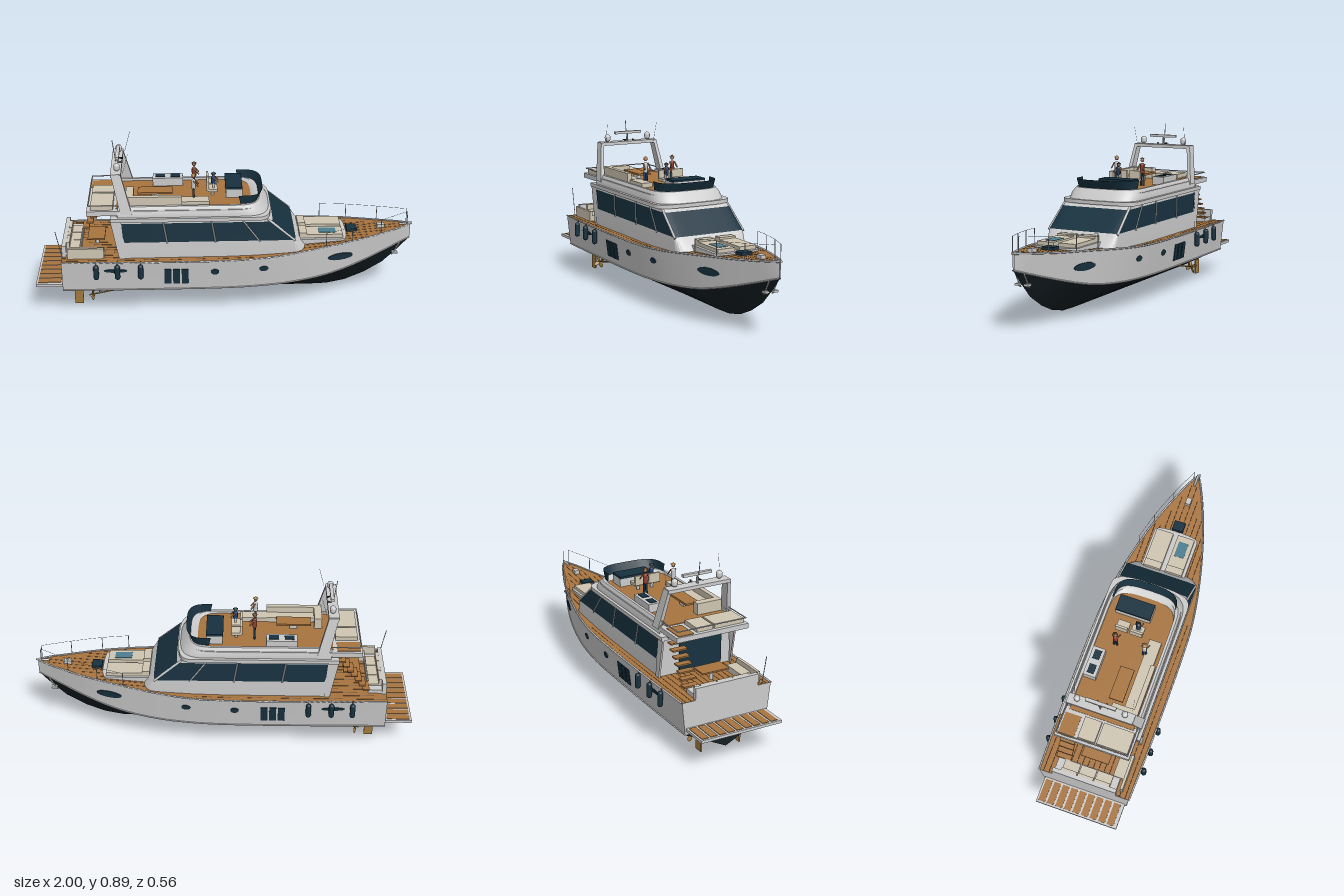
import * as THREE from 'three';
import { toCreasedNormals } from 'three/addons/utils/BufferGeometryUtils.js';

const paint = (color) => new THREE.MeshStandardMaterial({ color, side: THREE.DoubleSide });
const M = {
  white: paint(0xcccccc), black: paint(0x141e22), navy: paint(0x17313f), wood: paint(0xa8743f),
  cream: paint(0xcfc6b2), gold: paint(0xa07a3c), seam: paint(0x5f4226), skin: paint(0xa8714f),
  red: paint(0x94402f), blue: paint(0x20406a), teal: paint(0x4d7f92),
};
const V = (x, y, z) => new THREE.Vector3(x, y, z);

// hull stations: x, sheer height, sheer half width, chine height, chine half width, keel height
const STATIONS = [
  [-0.86, 0.315, 0.248, 0.145, 0.23, 0.03], [-0.5, 0.315, 0.257, 0.145, 0.235, 0.03],
  [0, 0.317, 0.257, 0.147, 0.235, 0.03], [0.15, 0.321, 0.25, 0.15, 0.228, 0.03],
  [0.3, 0.33, 0.23, 0.155, 0.211, 0.03], [0.45, 0.343, 0.2, 0.167, 0.183, 0.03],
  [0.55, 0.352, 0.175, 0.182, 0.16, 0.034], [0.65, 0.36, 0.147, 0.205, 0.132, 0.055],
  [0.75, 0.367, 0.113, 0.233, 0.097, 0.098], [0.85, 0.376, 0.073, 0.264, 0.058, 0.16],
  [0.93, 0.384, 0.039, 0.29, 0.026, 0.24], [0.99, 0.39, 0.005, 0.31, 0.003, 0.308],
];
function station(x) {
  let i = 0;
  while (i < STATIONS.length - 2 && x > STATIONS[i + 1][0]) i++;
  const a = STATIONS[i], b = STATIONS[i + 1], t = (x - a[0]) / (b[0] - a[0]);
  const [, sheer, half, chine, chineHalf, keel] = a.map((v, k) => v + (b[k] - v) * t);
  return { sheer, half, chine, chineHalf, keel };
}
function hullPoint(x, y, side) {
  const s = station(x), t = (y - s.chine) / (s.sheer - s.chine);
  return V(x, y, side * (s.chineHalf + (s.half - s.chineHalf) * t));
}

// skin stretched over rows of points; optionally closed round and capped
function loft(rows, closed = false, crease = 0.7) {
  const n = rows[0].length, pos = rows.flat().flatMap((p) => [p.x, p.y, p.z]), idx = [];
  for (let r = 0; r < rows.length - 1; r++)
    for (let i = 0; i < (closed ? n : n - 1); i++) {
      const a = r * n + i, b = r * n + (i + 1) % n;
      idx.push(a, a + n, b, b, a + n, b + n);
    }
  if (closed) for (const start of [0, (rows.length - 1) * n])
    for (let i = 1; i < n - 1; i++)
      idx.push(start, ...(start ? [start + i + 1, start + i] : [start + i, start + i + 1]));
  const g = new THREE.BufferGeometry();
  g.setAttribute('position', new THREE.Float32BufferAttribute(pos, 3));
  g.setIndex(idx);
  return toCreasedNormals(g, crease);
}
// plan outline: straight sides and a rounded nose
function plan(y, aft, front, half, nose, power = 0.6) {
  const pts = [V(aft, y, -half)];
  for (let i = 0; i <= 18; i++) {
    const t = -Math.PI / 2 + (i / 18) * Math.PI, s = Math.sin(t);
    pts.push(V(front - nose + nose * Math.pow(Math.max(0, Math.cos(t)), power), y,
      half * Math.sign(s) * Math.pow(Math.abs(s), power)));
  }
  return [...pts, V(aft, y, half)];
}

export function createModel() {
  const root = new THREE.Group();
  root.name = 'motorYacht';
  const add = (name, geo, mat, x = 0, y = 0, z = 0) => {
    const m = new THREE.Mesh(geo, mat);
    m.name = name;
    m.position.set(x, y, z);
    root.add(m);
    return m;
  };
  // box given by its ranges
  const box = (name, mat, x0, x1, y0, y1, z0, z1) =>
    add(name, new THREE.BoxGeometry(x1 - x0, y1 - y0, z1 - z0), mat, (x0 + x1) / 2, (y0 + y1) / 2, (z0 + z1) / 2);
  const rod = (name, mat, p, q, r) => {
    const m = add(name, new THREE.CylinderGeometry(r, r, p.distanceTo(q), 8), mat);
    m.position.copy(p).add(q).multiplyScalar(0.5);
    m.quaternion.setFromUnitVectors(V(0, 1, 0), q.clone().sub(p).normalize());
  };
  const tube = (name, mat, pts, r) =>
    add(name, new THREE.TubeGeometry(new THREE.CatmullRomCurve3(pts), 60, r, 6), mat);
  const slab = (name, mat, y0, y1, aft, front, half, nose) =>
    add(name, loft([plan(y0, aft, front, half, nose), plan(y1, aft, front, half, nose)], true), mat);

  // hull, rails and deck
  const xs = STATIONS.map((s) => s[0]);
  const keel = xs.map((x) => V(x, station(x).keel, 0));
  const edge = (x, s, key, inset = 0) => V(x, station(x)[key] - inset,
    s * Math.max(0.001, station(x)[key === 'sheer' ? 'half' : 'chineHalf'] - inset));
  for (const s of [1, -1]) {
    const chine = xs.map((x) => edge(x, s, 'chine')), sheer = xs.map((x) => edge(x, s, 'sheer'));
    add('bottom', loft([keel, chine]), M.black);
    add('topside', loft([chine, sheer]), M.white);
    tube('chineRail', M.white, chine, 0.004);
    tube('capRail', M.white, sheer, 0.005);
  }
  add('deck', loft([1, -1].map((s) => xs.map((x) => edge(x, s, 'sheer', 0.002)))), M.wood);
  for (let z = -0.225; z < 0.23; z += 0.03) {
    const pts = xs.filter((x) => station(x).half > Math.abs(z) + 0.008).map((x) => V(x, station(x).sheer - 0.002, z));
    tube('deckSeam', M.seam, pts, 0.0012);
  }
  const corner = (s, key) => edge(-0.86, s, key);
  add('transomBottom', loft([[keel[0], corner(1, 'chine')], [keel[0], corner(-1, 'chine')]]), M.black);
  add('transom', loft([1, -1].map((s) => [corner(s, 'chine'), corner(s, 'sheer')])), M.white);

  // swim platform
  box('swimPlatform', M.white, -1, -0.85, 0.163, 0.178, -0.225, 0.225);
  for (let i = 0; i < 9; i++) box('platformPlank', M.wood, -0.99, -0.87, 0.177, 0.181, -0.215 + i * 0.048, -0.178 + i * 0.048);

  // hull windows follow the hull surface
  const fitting = (name, geo, x, y, s) => {
    const p = hullPoint(x, y, s);
    const u = hullPoint(x + 0.02, y, s).sub(p), v = hullPoint(x, y + 0.02, s).sub(p);
    const m = add(name, geo, M.navy);
    m.position.copy(p);
    m.lookAt(p.clone().add(u.cross(v).multiplyScalar(s)));
  };
  const oval = (a, b) => new THREE.CylinderGeometry(1, 1, 0.008, 24).rotateX(Math.PI / 2).scale(a, b, 1);
  for (const s of [1, -1]) {
    for (const x of [-0.31, -0.265, -0.22]) fitting('hullWindow', new THREE.BoxGeometry(0.036, 0.09, 0.008), x, 0.226, s);
    fitting('porthole', oval(0.022, 0.016), -0.065, 0.25, s);
    fitting('porthole', oval(0.024, 0.015), 0.19, 0.258, s);
    fitting('bowWindow', oval(0.07, 0.02), 0.6, 0.278, s);
    fitting('sternWindow', oval(0.06, 0.01), -0.58, 0.265, s);
    // fenders
    for (const x of [-0.68, -0.57, -0.45]) {
      add('fender', new THREE.CapsuleGeometry(0.014, 0.056, 6, 14), M.navy, x, 0.265, s * 0.266);
      rod('fenderLine', M.seam, V(x, 0.3, s * 0.266), V(x, 0.322, s * 0.255), 0.002);
    }
    // running gear
    box('rudder', M.gold, -0.812, -0.766, 0, 0.082, s * 0.11 - 0.004, s * 0.11 + 0.004);
    rod('rudderStock', M.gold, V(-0.785, 0.07, s * 0.11), V(-0.785, 0.1, s * 0.11), 0.005);
    rod('shaft', M.gold, V(-0.5, 0.095, s * 0.11), V(-0.735, 0.047, s * 0.11), 0.004);
    rod('shaftStrut', M.gold, V(-0.68, 0.058, s * 0.11), V(-0.68, 0.1, s * 0.11), 0.004);
    for (let k = 0; k < 4; k++) {
      const blade = new THREE.SphereGeometry(1, 10, 8).scale(0.003, 0.018, 0.011).rotateY(0.6).translate(0, 0.02, 0);
      add('propellerBlade', blade.rotateX(k * Math.PI / 2 + 0.4), M.gold, -0.715, 0.05, s * 0.11);
    }
    // stowed anchor
    rod('anchorShank', M.white, V(0.935, 0.285, s * 0.024), V(0.895, 0.215, s * 0.024), 0.004);
    box('anchorFluke', M.white, 0.895, 0.925, 0.225, 0.235, s * 0.025 - 0.012, s * 0.025 + 0.012);
  }

  // cabin
  const cabin = (y, grow = 0, aft = -0.55) => {
    const t = (y - 0.4) / 0.125;
    return plan(y, aft, 0.362 - 0.145 * t + grow, 0.203 - 0.008 * Math.max(0, t) + grow, 0.035, 0.3);
  };
  add('cabin', loft([plan(0.3, -0.55, 0.45, 0.203, 0.12), cabin(0.4), cabin(0.525)], true, 0.5), M.white);
  add('cabinGlass', loft([cabin(0.405, 0.003, -0.53), cabin(0.51, 0.003, -0.56)], false, 0.5), M.navy);
  for (const s of [1, -1]) {
    for (const x of [-0.31, -0.06, 0.17]) rod('windowPillar', M.white, V(x, 0.4, s * 0.206), V(x - (x > 0 ? 0.09 : 0.02), 0.52, s * 0.198), 0.004);
    rod('frontPillar', M.white, V(0.355, 0.4, s * 0.201), V(0.21, 0.522, s * 0.193), 0.006);
    // cabin side carried aft as a raked wing
    add('cabinWing', loft([-0.2, -0.21].map((z) => [V(-0.56, 0.31, s * z), V(-0.6, 0.53, s * z)]).concat(
      [[V(-0.53, 0.31, s * -0.21), V(-0.545, 0.53, s * -0.205)]]), false, 0.3), M.white);
  }
  box('saloonDoor', M.navy, -0.556, -0.548, 0.325, 0.51, -0.09, 0.15);

  // flybridge floor, fairing and windscreen
  slab('cabinRoof', M.white, 0.525, 0.545, -0.6, 0.232, 0.217, 0.09);
  slab('flybridgeCore', M.white, 0.544, 0.558, -0.57, 0.19, 0.185, 0.14);
  slab('flybridgeSlab', M.white, 0.557, 0.583, -0.72, 0.185, 0.2, 0.16);
  slab('flybridgeFloor', M.wood, 0.582, 0.586, -0.57, 0.13, 0.172, 0.13);
  add('coaming', loft([
    plan(0.545, -0.56, 0.222, 0.202, 0.16), plan(0.575, -0.56, 0.2, 0.2, 0.16), plan(0.6, -0.56, 0.175, 0.186, 0.15),
    plan(0.6, -0.56, 0.155, 0.172, 0.14), plan(0.583, -0.56, 0.13, 0.172, 0.13)]), M.white);
  add('flybridgeWindscreen', loft([plan(0.6, 0.07, 0.168, 0.165, 0.1), plan(0.645, 0.06, 0.19, 0.168, 0.12)]), M.navy);

  // flybridge furniture
  box('helmConsole', M.white, 0, 0.085, 0.585, 0.632, -0.13, 0.06);
  box('helmPanel', M.navy, -0.003, 0.085, 0.63, 0.642, -0.13, 0.06);
  for (const z of [0.018, -0.062]) {
    box('helmSeat', M.cream, -0.095, -0.045, 0.615, 0.63, z - 0.033, z + 0.033);
    box('helmSeatBack', M.cream, -0.102, -0.09, 0.62, 0.672, z - 0.033, z + 0.033);
    rod('seatPedestal', M.white, V(-0.07, 0.585, z), V(-0.07, 0.62, z), 0.008);
  }
  box('barUnit', M.white, -0.385, -0.225, 0.585, 0.63, -0.168, -0.1);
  for (const x of [-0.345, -0.265]) box('barTop', M.navy, x - 0.025, x + 0.025, 0.629, 0.633, -0.152, -0.115);
  box('sofaSeat', M.cream, -0.51, -0.23, 0.585, 0.612, 0.09, 0.168);
  box('sofaBack', M.cream, -0.51, -0.23, 0.61, 0.645, 0.145, 0.17);
  box('sofaEnd', M.cream, -0.52, -0.48, 0.585, 0.645, 0.03, 0.168);
  box('lounger', M.cream, -0.23, -0.09, 0.585, 0.61, 0.09, 0.155);
  box('flybridgeTable', M.wood, -0.46, -0.28, 0.618, 0.628, 0.0, 0.075);
  box('tableLeg', M.white, -0.39, -0.35, 0.585, 0.62, 0.025, 0.05);
  box('aftSunbed', M.cream, -0.7, -0.585, 0.583, 0.605, 0.02, 0.185);
  box('aftBench', M.cream, -0.7, -0.585, 0.583, 0.605, -0.08, 0.01);
  box('stairLanding', M.wood, -0.71, -0.59, 0.582, 0.586, -0.185, -0.1);
  for (const s of [1, -1]) rod('aftRail', M.white, V(-0.71, 0.61, s * 0.19), V(-0.54, 0.61, s * 0.19), 0.003);
  rod('aftRail', M.white, V(-0.71, 0.61, -0.19), V(-0.71, 0.61, 0.19), 0.003);

  // radar arch
  const legRing = (x0, x1, y, z, w) => [V(x0, y, z - w), V(x1, y, z - w), V(x1, y, z + w), V(x0, y, z + w)];
  for (const s of [1, -1]) {
    add('archLeg', loft([legRing(-0.545, -0.487, 0.565, s * 0.195, 0.011), legRing(-0.59, -0.54, 0.772, s * 0.165, 0.009)], true, 0.3), M.white);
    add('radarDome', new THREE.CapsuleGeometry(0.016, 0.01, 6, 16), M.white, -0.56, 0.797, s * 0.125);
    rod('antenna', M.white, V(-0.53, 0.77, s * 0.15), V(-0.5, 0.88, s * 0.155), 0.0008);
    const horn = add('horn', new THREE.ConeGeometry(0.006, 0.03, 12).rotateZ(Math.PI / 2), M.black, -0.55, 0.783, s * 0.028);
    horn.rotation.y = s * 0.4;
  }
  box('archBeam', M.white, -0.592, -0.538, 0.757, 0.775, -0.172, 0.172);
  rod('radarPost', M.white, V(-0.56, 0.77, 0), V(-0.56, 0.82, 0), 0.004);
  box('radarScanner', M.white, -0.568, -0.55, 0.816, 0.83, -0.08, 0.08);
  rod('mast', M.white, V(-0.57, 0.77, 0), V(-0.585, 0.89, 0), 0.002);

  // cockpit and stairs
  box('cockpitSofaBase', M.white, -0.855, -0.765, 0.31, 0.335, -0.17, 0.17);
  box('cockpitSofaBack', M.white, -0.86, -0.838, 0.31, 0.375, -0.175, 0.175);
  for (let i = 0; i < 3; i++) {
    const z = -0.132 + i * 0.09;
    box('cockpitCushion', M.cream, -0.836, -0.77, 0.334, 0.345, z, z + 0.085);
    box('cockpitBackCushion', M.cream, -0.842, -0.822, 0.344, 0.374, z, z + 0.085);
  }
  box('cockpitSideSeat', M.cream, -0.77, -0.64, 0.31, 0.345, 0.13, 0.19);
  box('cockpitSideBack', M.cream, -0.83, -0.64, 0.31, 0.37, 0.188, 0.203);
  box('cockpitTable', M.wood, -0.73, -0.64, 0.365, 0.373, -0.06, 0.09);
  rod('cockpitTableLeg', M.white, V(-0.685, 0.31, 0.015), V(-0.685, 0.367, 0.015), 0.01);
  for (let i = 0; i < 8; i++) box('stairStep', M.wood, -0.77 + i * 0.022, -0.735 + i * 0.022, 0.338 + i * 0.029, 0.346 + i * 0.029, -0.185, -0.105);
  rod('flagStaff', M.white, V(-0.855, 0.315, 0.2), V(-0.885, 0.47, 0.2), 0.002);

  // foredeck
  slab('foredeckTrunk', M.white, 0.33, 0.366, 0.36, 0.64, 0.125, 0.04);
  for (const [z0, z1] of [[-0.112, -0.015], [0.012, 0.108]]) {
    box('sunPad', M.cream, 0.385, 0.615, 0.365, 0.385, z0, z1);
    box('sunPadPillow', M.cream, 0.385, 0.425, 0.384, 0.395, z0, z1);
  }
  box('towel', M.teal, 0.49, 0.58, 0.384, 0.387, 0.03, 0.085);
  box('deckHatch', M.navy, 0.645, 0.7, 0.355, 0.376, -0.035, 0.028);
  box('windlass', M.white, 0.81, 0.85, 0.37, 0.392, -0.014, 0.014);
  rod('anchorRoller', M.white, V(0.93, 0.388, 0), V(1, 0.392, 0), 0.006);
  for (const s of [1, -1]) {
    const tops = [0.52, 0.66, 0.82, 0.97].map((x) => edge(x, s, 'sheer').add(V(0, 0.08, 0)));
    tops.forEach((p) => rod('stanchion', M.white, p.clone().add(V(0, -0.08, 0)), p, 0.002));
    tube('bowRail', M.white, tops, 0.001);
  }

  // crew
  const person = (x, z, foot, h, shirt, trousers, hat) => {
    for (const s of [1, -1]) {
      rod('leg', trousers, V(x, foot, z + s * 0.008), V(x, foot + h * 0.48, z + s * 0.006), 0.006);
      rod('arm', M.skin, V(x, foot + h * 0.78, z + s * 0.014), V(x + 0.025, foot + h * 0.58, z + s * 0.018), 0.004);
    }
    add('torso', new THREE.CapsuleGeometry(0.012, h * 0.24, 4, 10), shirt, x, foot + h * 0.62, z);
    add('head', new THREE.SphereGeometry(0.01, 12, 10), M.skin, x, foot + h * 0.92, z);
    add('hat', new THREE.ConeGeometry(0.014, 0.01, 12), hat, x, foot + h, z);
  };
  person(-0.17, 0.09, 0.586, 0.15, M.white, M.blue, M.gold);
  person(-0.165, -0.07, 0.586, 0.148, M.red, M.navy, M.seam);
  person(-0.065, 0.02, 0.6, 0.112, M.blue, M.white, M.navy);
  return root;
}
